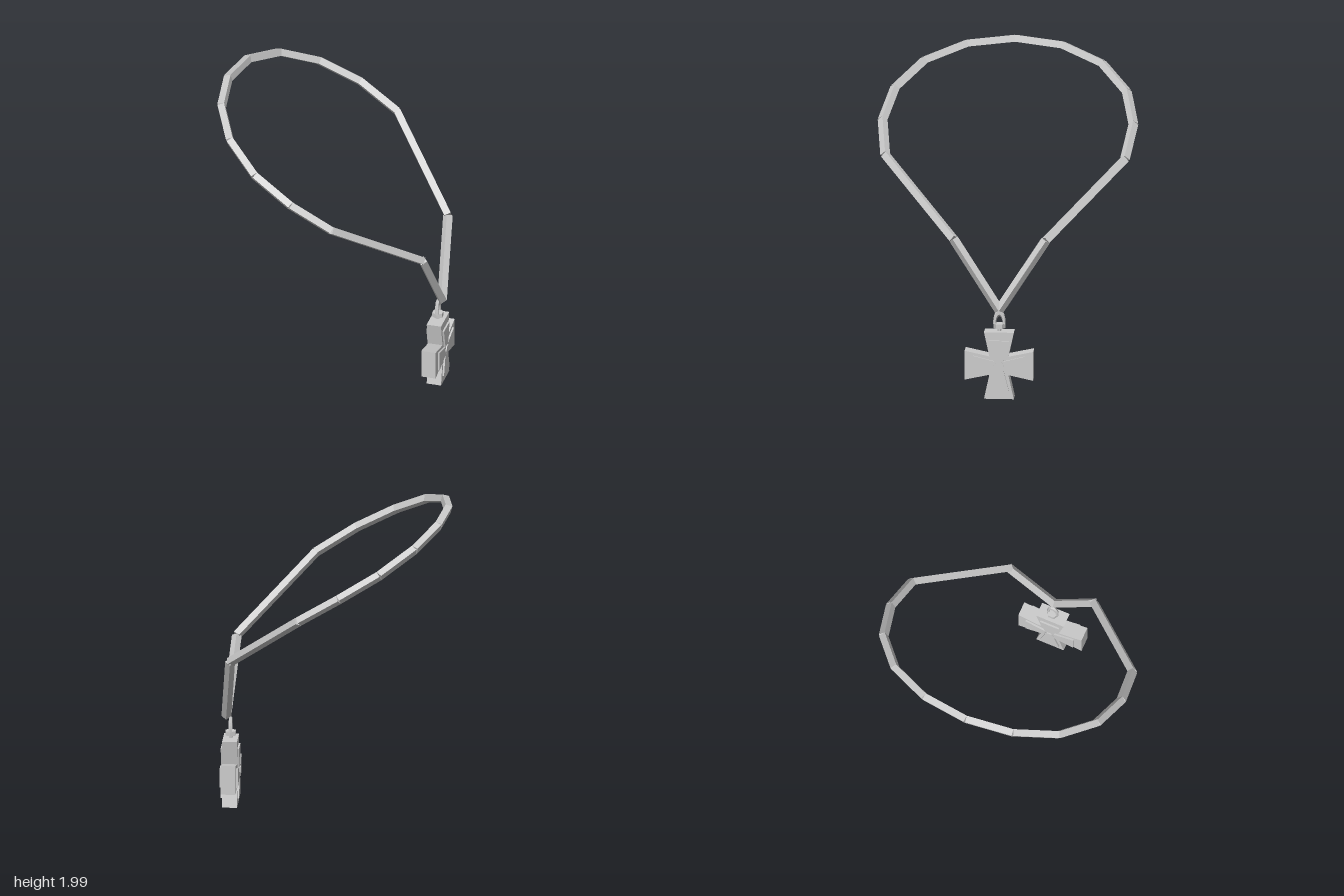
import * as THREE from 'three';

export function createModel() {
  const root = new THREE.Group();
  root.name = 'pendantNecklace';
  const metal = new THREE.MeshStandardMaterial({ color: 0xcccccc, flatShading: true });
  metal.name = 'paleMetal';

  const add = (name, geometry, parent = root) => {
    const mesh = new THREE.Mesh(geometry, metal);
    mesh.name = name;
    parent.add(mesh);
    return mesh;
  };

  // Cord: half of the loop, mirrored across z; each link is a square bar set on edge
  const path = [
    [0.695, 0.575, 0], [0.65, 1.02, 0.29], [0.185, 1.435, 0.755], [-0.07, 1.595, 0.79],
    [-0.32, 1.738, 0.73], [-0.53, 1.863, 0.56], [-0.66, 1.943, 0.3], [-0.703, 1.969, 0],
  ].map((p) => new THREE.Vector3(...p));
  const cord = new THREE.Group();
  cord.name = 'cord';
  root.add(cord);
  const addLink = (a, b, ref) => {
    const along = b.clone().sub(a);
    const length = along.length();
    along.normalize();
    const side = ref.clone().addScaledVector(along, -ref.dot(along)).normalize();
    const frame = new THREE.Matrix4().makeBasis(side, along, side.clone().cross(along));
    frame.setPosition(a.clone().add(b).multiplyScalar(0.5));
    add('cordLink', new THREE.CylinderGeometry(0.031, 0.031, length, 4).applyMatrix4(frame), cord);
  };
  const mirror = new THREE.Vector3(1, 1, -1);
  for (let i = 0; i < path.length - 1; i++) {
    // the lowest link faces forward, the rest follow the tilted plane of the loop
    const ref = i === 0 ? new THREE.Vector3(1, 0, 0) : new THREE.Vector3(0.51, 0.86, 0);
    addLink(path[i], path[i + 1], ref);
    addLink(path[i].clone().multiply(mirror), path[i + 1].clone().multiply(mirror), ref);
  }

  // Pendant, with its broad faces towards +x and -x
  const pendant = new THREE.Group();
  pendant.name = 'pendant';
  pendant.position.set(0.668, 0.218, 0);
  root.add(pendant);

  // Cross with four flared arms
  const crossGeometry = (reach, flare, waist, depth) => {
    const points = [];
    for (let k = 0; k < 4; k++) {
      const turn = (k * Math.PI) / 2;
      for (const [x, y] of [[waist, -waist], [reach, -flare], [reach, flare]]) {
        points.push(new THREE.Vector2(x, y).rotateAround(new THREE.Vector2(), turn));
      }
    }
    const geometry = new THREE.ExtrudeGeometry(new THREE.Shape(points), { depth, bevelEnabled: false });
    return geometry.translate(0, 0, -depth / 2).rotateY(Math.PI / 2);
  };
  add('crossBody', crossGeometry(0.216, 0.094, 0.06, 0.094), pendant);
  add('raisedCross', crossGeometry(0.163, 0.064, 0.03, 0.116), pendant);
  add('centreStud', new THREE.CylinderGeometry(0.033, 0.033, 0.13, 6).rotateZ(Math.PI / 2), pendant);

  // Hanger: hexagonal collar on a small peg, with an arched loop
  add('hangerPeg', new THREE.CylinderGeometry(0.012, 0.012, 0.03, 6).translate(0, 0.228, 0), pendant);
  add('hangerCollar', new THREE.CylinderGeometry(0.037, 0.037, 0.029, 6).translate(0, 0.249, 0), pendant);
  const loop = new THREE.TorusGeometry(0.03, 0.01, 6, 14, Math.PI);
  loop.scale(1, 2.5, 1.2).rotateY(Math.PI / 2).translate(0, 0.26, 0);
  add('hangerLoop', loop, pendant);

  return root;
}
